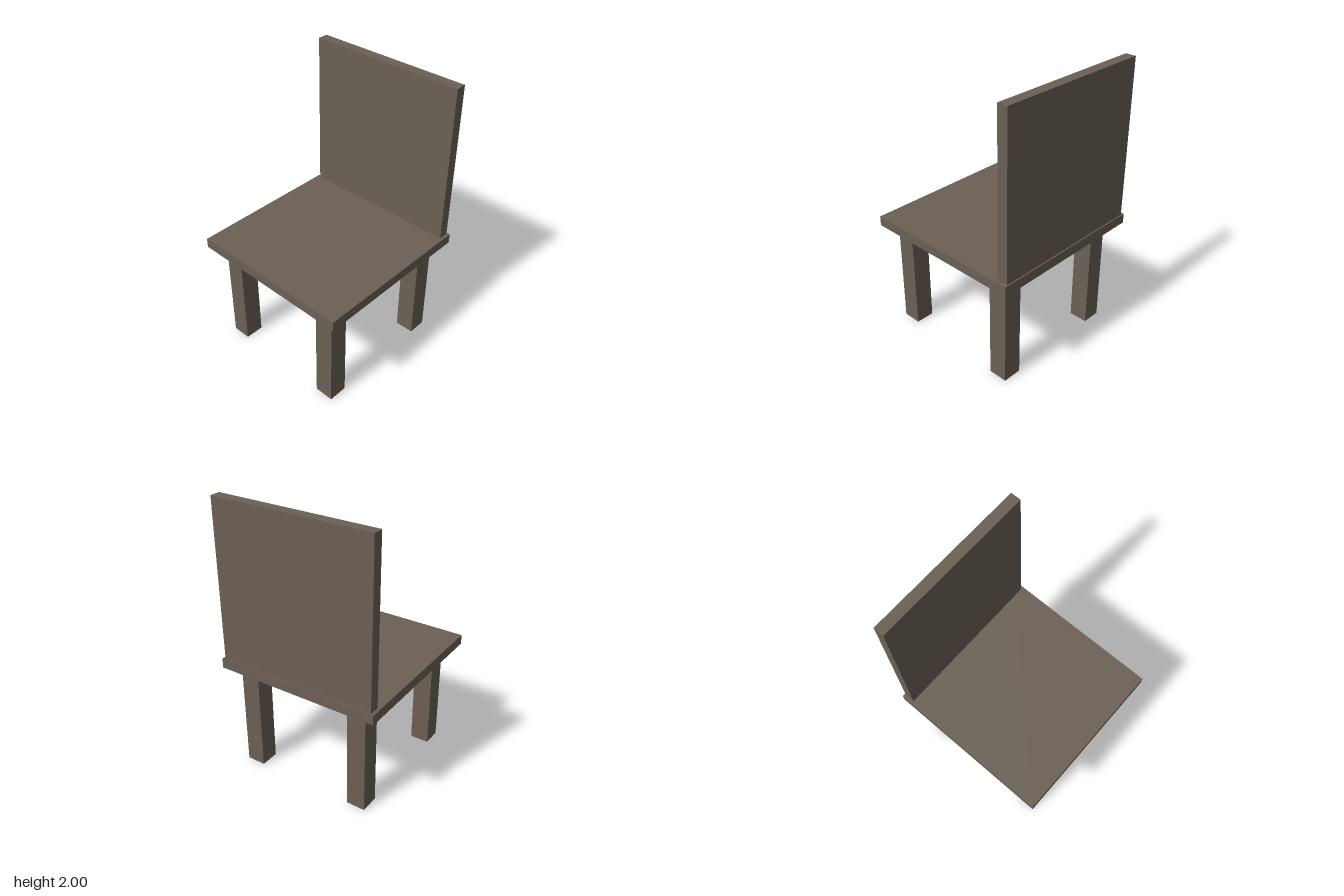
import * as THREE from 'three';

export function createModel() {
  const chair = new THREE.Group();
  chair.name = 'chair';
  const wood = new THREE.MeshStandardMaterial({ color: 0x6b6055 });
  wood.name = 'dark wood';

  // Box placed by the centre of its underside
  function addBoard(name, width, height, depth, x, y, z) {
    const mesh = new THREE.Mesh(new THREE.BoxGeometry(width, height, depth), wood);
    mesh.name = name;
    mesh.position.set(x, y + height / 2, z);
    chair.add(mesh);
  }

  const seatBottom = 0.787, seatTop = 0.858;

  // Seat slab and upright backrest near its rear edge
  addBoard('seat', 1.203, seatTop - seatBottom, 1.203, 0, seatBottom, 0);
  addBoard('backrest', 1.16, 2 - seatTop, 0.075, 0, seatTop, -0.555);

  // Four square legs
  for (const [side, x] of [['Left', 0.44], ['Right', -0.424]]) {
    for (const [end, z] of [['front', 0.448], ['back', -0.445]]) {
      addBoard(end + side + 'Leg', 0.138, seatBottom, 0.138, x, 0, z);
    }
  }

  return chair;
}
